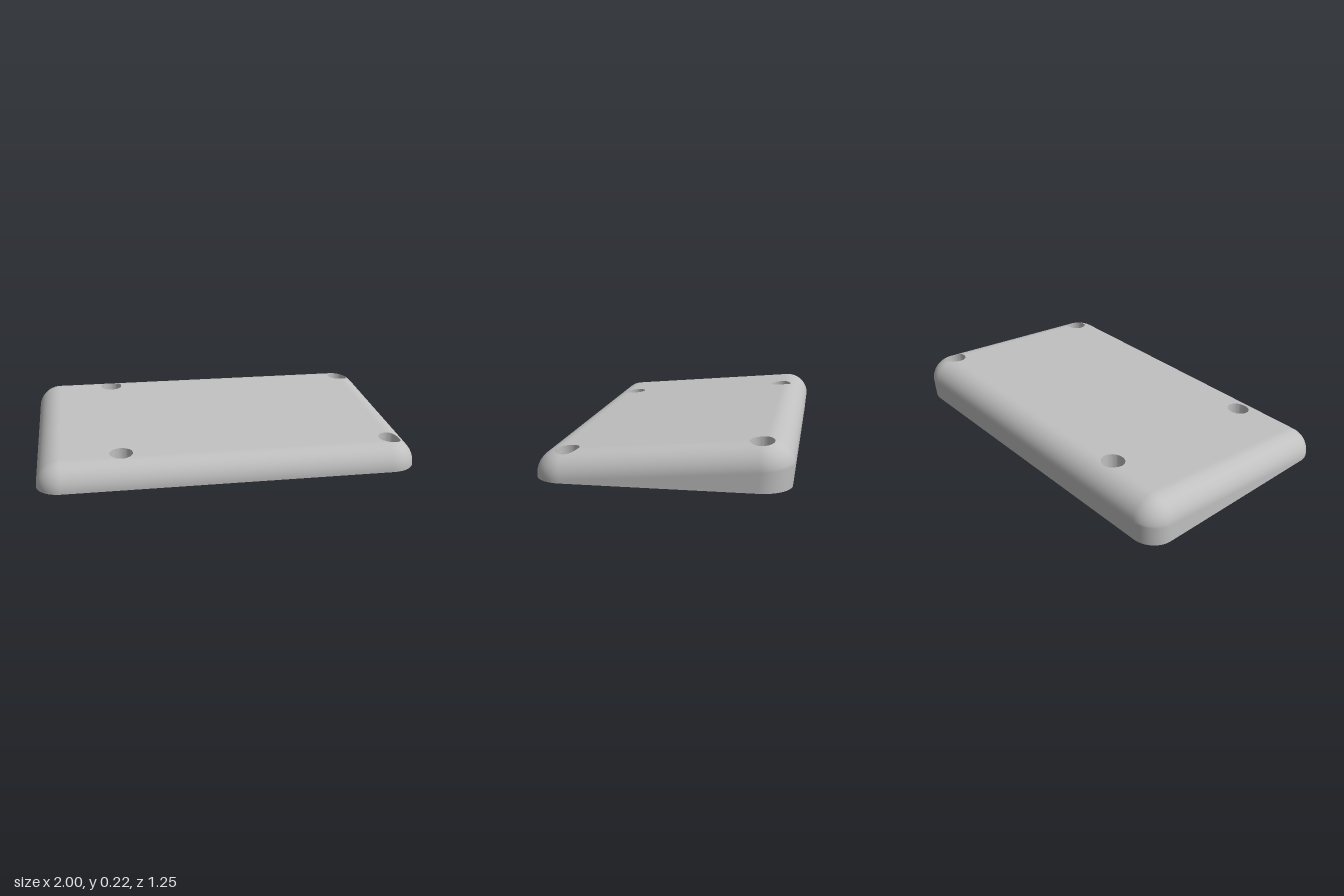
import * as THREE from 'three';
import { toCreasedNormals } from 'three/addons/utils/BufferGeometryUtils.js';

const TILT = THREE.MathUtils.degToRad(5), S = Math.sin(TILT), C = Math.cos(TILT);
const R = 0.125;               // fillet along the top edge
const HALF_X = 1, HALF_V = 0.627, MID_Y = 0.0555;
const BORE = 0.03, COUNTERBORE = 0.06, FLOOR_Y = 0.05;

// screw holes: x, z and the matching position along the sloping top
const holes = [];
for (const x of [-0.565, 0.875]) {
  for (const z of [-0.47, 0.47]) holes.push({ x, z, v: (z - R * S) / C });
}

const cornerRadius = (u) => (u < 0 ? 0.125 : 0.15);

// point on the sloping slab, u across and v from back to front
function surface(u, v) {
  const r = cornerRadius(u);
  const qx = Math.abs(u) - HALF_X + r, qv = Math.abs(v) - HALF_V + r;
  const inset = r - Math.hypot(Math.max(qx, 0), Math.max(qv, 0)) - Math.min(Math.max(qx, qv), 0);
  const k = R - Math.min(Math.max(inset, 0), R);
  const h = Math.sqrt(Math.max(R * R - k * k, 0));
  return new THREE.Vector3(u, MID_Y + h * C - v * S, v * C + h * S);
}

// rounded rectangle drawn in by an inset, always with the same point count
function outline(inset) {
  const pts = [];
  const corners = [[1, 1, 180], [-1, 1, 110], [-1, -1, 180], [1, -1, 110]].map(([sx, sv, n], i) => {
    const full = cornerRadius(sx), r = Math.max(full - inset, 0), c = Math.max(full, inset);
    const arc = [];
    for (let j = 0; j <= 24; j++) {
      const a = (i + j / 24) * Math.PI / 2;
      arc.push([sx * (HALF_X - c) + r * Math.cos(a), sv * (HALF_V - c) + r * Math.sin(a)]);
    }
    return { arc, n };
  });
  corners.forEach(({ arc, n }, i) => {
    pts.push(...arc);
    const a = arc[24], b = corners[(i + 1) % 4].arc[0];
    for (let j = 1; j < n; j++) {
      const t = j / n;
      pts.push([a[0] + (b[0] - a[0]) * t, a[1] + (b[1] - a[1]) * t]);
    }
  });
  return pts;
}

// foot of the wall; the back wall leans in slightly towards the base
function footPoint([u, v]) {
  const z = v * C;
  return new THREE.Vector3(u, 0, z < 0 ? z * 0.985 : z);
}

function shellGeometry() {
  const insets = [];
  for (let i = 0; i <= 18; i++) insets.push(R * (1 - Math.cos(i / 18 * Math.PI / 2)));
  for (let i = 1; i <= 13; i++) insets.push(R + i * 0.009);

  const pos = [], inHole = [], index = [];
  const put = (p, flag) => { pos.push(p.x, p.y, p.z); inHole.push(flag); };
  const rim = outline(0), n = rim.length;
  rim.forEach((p) => put(footPoint(p), false));
  for (const d of insets) {
    for (let [u, v] of outline(d)) {
      // points inside a hole move out onto its rim
      const hole = holes.find((o) => Math.hypot(u - o.x, v - o.v) < COUNTERBORE);
      if (hole) {
        const a = Math.atan2(v - hole.v, u - hole.x);
        u = hole.x + COUNTERBORE * Math.cos(a);
        v = hole.v + COUNTERBORE * Math.sin(a);
      }
      put(surface(u, v), !!hole);
    }
  }
  const tri = (a, b, c) => {
    if (!(inHole[a] && inHole[b] && inHole[c])) index.push(a, b, c);
  };
  const last = insets.length * n;
  for (let k = 0; k < last; k += n) {
    for (let i = 0; i < n; i++) {
      const j = (i + 1) % n;
      tri(k + i, k + n + i, k + j);
      tri(k + j, k + n + i, k + n + j);
    }
  }
  // flat middle of the top
  put(surface(0, 0), false);
  for (let i = 0; i < n; i++) tri(last + i, last + n, last + (i + 1) % n);

  const geo = new THREE.BufferGeometry();
  geo.setAttribute('position', new THREE.Float32BufferAttribute(pos, 3));
  geo.setIndex(index);
  geo.computeVertexNormals();
  return geo;
}

function baseGeometry() {
  const shape = new THREE.Shape(outline(0).map((p) => {
    const f = footPoint(p);
    return new THREE.Vector2(f.x, f.z);
  }));
  for (const o of holes) shape.holes.push(new THREE.Path().absarc(o.x, o.z, BORE, 0, Math.PI * 2, true));
  return new THREE.ShapeGeometry(shape, 24).rotateX(Math.PI / 2);
}

// stepped hole whose upper rim follows the top surface
function holeGeometry(o) {
  const profile = [[COUNTERBORE, 1], [COUNTERBORE, FLOOR_Y], [BORE, FLOOR_Y], [BORE, 0]];
  const geo = new THREE.LatheGeometry(profile.map(([r, y]) => new THREE.Vector2(r, y)), 48);
  const p = geo.attributes.position;
  for (let i = 0; i < p.count; i++) {
    const x = p.getX(i), z = p.getZ(i);
    if (p.getY(i) > 0.9) {
      const top = surface(o.x + x, o.v + z);
      p.setXYZ(i, top.x, top.y, top.z);
    } else p.setXYZ(i, o.x + x, p.getY(i), o.z + z);
  }
  return toCreasedNormals(geo, 0.6);
}

export function createModel() {
  const grey = new THREE.MeshStandardMaterial({ color: 0xc0c0c0 });
  grey.name = 'light grey';
  const model = new THREE.Group();
  model.name = 'slopedCase';
  const add = (name, geo) => {
    const mesh = new THREE.Mesh(geo, grey);
    mesh.name = name;
    model.add(mesh);
  };
  add('shell', shellGeometry());
  add('base', baseGeometry());
  holes.forEach((o) => add('screwHole', holeGeometry(o)));
  return model;
}
